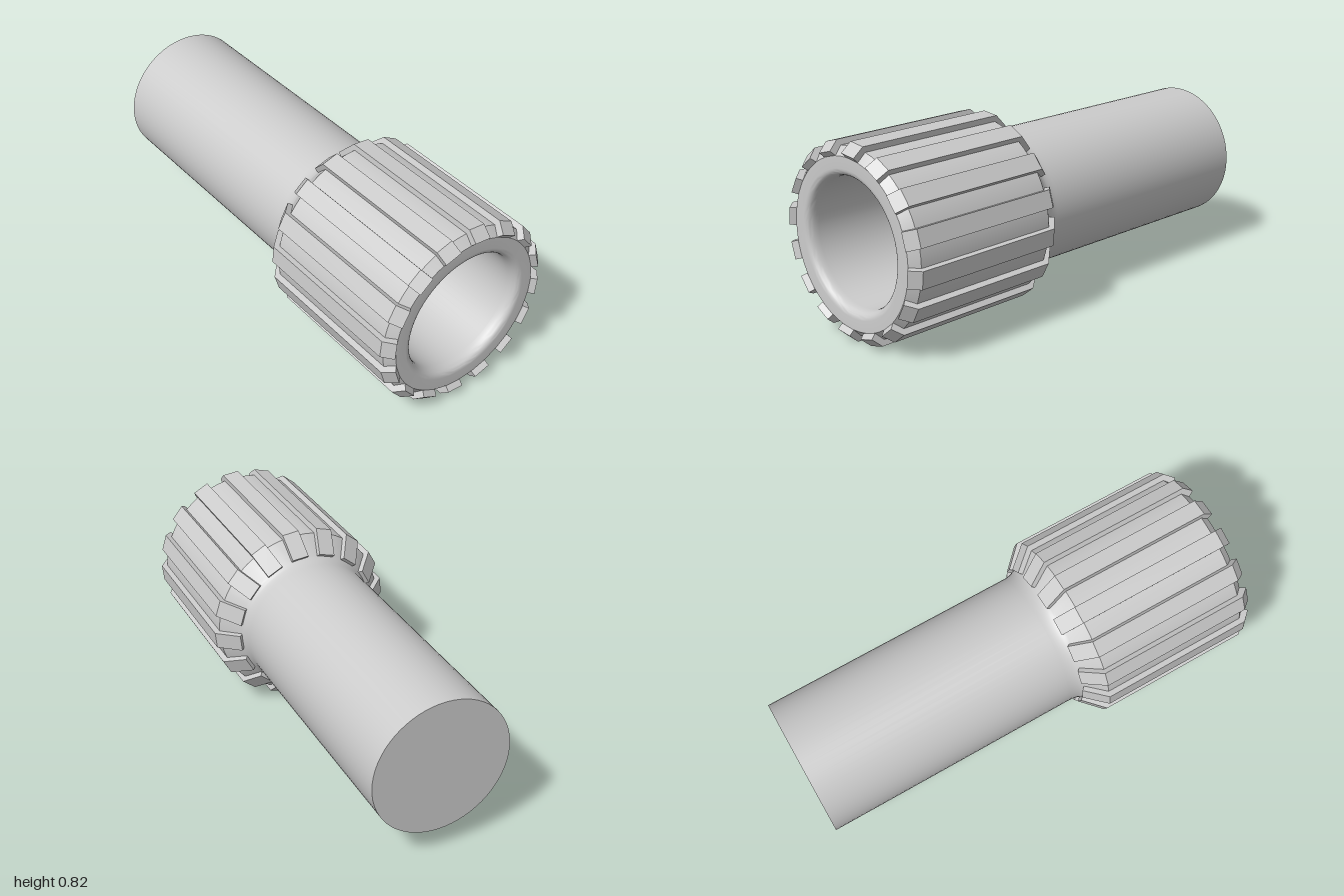
import * as THREE from 'three';
import { toCreasedNormals } from 'three/addons/utils/BufferGeometryUtils.js';

const AXIS_Y = 0.412;
const TEETH = 16;
const TOOTH_WIDTH = 0.075;

const grey = new THREE.MeshStandardMaterial({ color: 0xcccccc });

// Hollow stem and collar: one profile (radius, distance along the axis) spun round
function makeBody() {
  const p = new THREE.Path();
  p.moveTo(0, -1);
  p.lineTo(0.3, -1);
  p.lineTo(0.3, 0.14);
  p.quadraticCurveTo(0.3, 0.19, 0.318, 0.209); // fillet between stem and collar
  p.lineTo(0.387, 0.28);
  p.lineTo(0.387, 0.945);
  p.lineTo(0.352, 0.98);
  p.lineTo(0.303, 0.98);
  p.quadraticCurveTo(0.27, 0.98, 0.268, 0.93); // rounded mouth
  p.lineTo(0.268, -0.97);
  p.lineTo(0, -0.97);
  const geometry = new THREE.LatheGeometry(p.getPoints(8), 64);
  geometry.rotateX(Math.PI / 2);
  return new THREE.Mesh(toCreasedNormals(geometry, 0.5), grey);
}

// One grip rib: a side outline bent over both chamfers, extruded to its width
function makeRibGeometry() {
  const outline = new THREE.Shape([
    [0.207, 0.305], [0.187, 0.325], [0.272, 0.41], [0.957, 0.41],
    [1.0, 0.371], [0.98, 0.351], [0.94, 0.37], [0.29, 0.37],
  ].map(([z, r]) => new THREE.Vector2(z, r)));
  const geometry = new THREE.ExtrudeGeometry(outline, { depth: TOOTH_WIDTH, bevelEnabled: false });
  geometry.translate(0, 0, -TOOTH_WIDTH / 2);
  geometry.rotateY(-Math.PI / 2);
  return geometry;
}

export function createModel() {
  const model = new THREE.Group();
  model.name = 'ribbedNozzle';

  const body = makeBody();
  body.name = 'stemAndCollar';
  model.add(body);

  // Ribs evenly spaced round the collar
  const ribs = new THREE.Group();
  ribs.name = 'gripRibs';
  const ribGeometry = makeRibGeometry();
  for (let i = 0; i < TEETH; i++) {
    const rib = new THREE.Mesh(ribGeometry, grey);
    rib.name = 'gripRib';
    rib.rotation.z = -(i + 0.25) * (2 * Math.PI / TEETH);
    ribs.add(rib);
  }
  model.add(ribs);

  body.position.y = AXIS_Y;
  ribs.position.y = AXIS_Y;
  return model;
}
